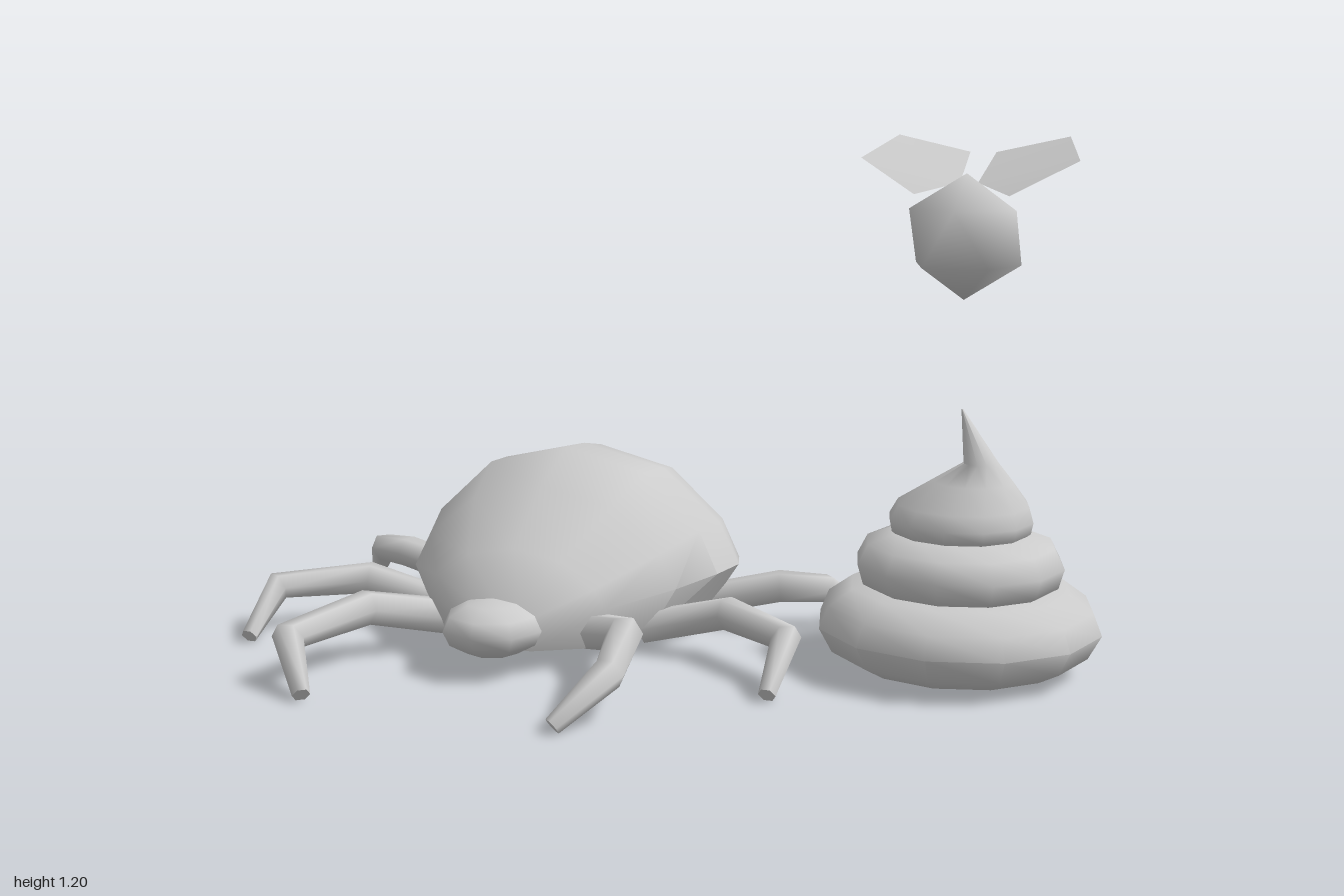
import * as THREE from 'three';
import { toCreasedNormals } from 'three/addons/utils/BufferGeometryUtils.js';

const MID = -0.295;          // symmetry plane of the beetle
const FLY = [0.67, 0.985, -0.165];
const material = new THREE.MeshStandardMaterial({ color: 0xcccccc });
const thin = new THREE.MeshStandardMaterial({ color: 0xcccccc, side: THREE.DoubleSide });

function mesh(name, geometry, mat = material) {
  const m = new THREE.Mesh(geometry, mat);
  m.name = name;
  return m;
}

// Skin over rings of points; each ring runs counter-clockwise about the direction of travel
function loft(rings, crease) {
  const n = rings[0].length, pos = [], index = [];
  rings.forEach(r => r.forEach(p => pos.push(p.x, p.y, p.z)));
  for (let i = 0; i < rings.length - 1; i++) {
    for (let j = 0; j < n; j++) {
      const a = i * n + j, b = i * n + (j + 1) % n;
      index.push(a, b, a + n, b, b + n, a + n);
    }
  }
  // end caps with their own vertices
  [0, rings.length - 1].forEach(k => {
    const base = pos.length / 3, c = new THREE.Vector3();
    rings[k].forEach(p => { c.addScaledVector(p, 1 / n); pos.push(p.x, p.y, p.z); });
    pos.push(c.x, c.y, c.z);
    for (let j = 0; j < n; j++) {
      const a = base + j, b = base + (j + 1) % n;
      if (k) index.push(a, b, base + n); else index.push(b, a, base + n);
    }
  });
  const g = new THREE.BufferGeometry();
  g.setAttribute('position', new THREE.Float32BufferAttribute(pos, 3));
  g.setIndex(index);
  if (crease) return toCreasedNormals(g, crease);
  g.computeVertexNormals();
  return g;
}

// Domed shell with a flat belly
function shell() {
  const half = [[1, 0], [0.88, 0.36], [0.52, 0.82], [0, 1]];
  const profile = [...half, ...half.slice(0, 3).reverse().map(([u, v]) => [-u, v]), [-0.78, -1], [0.78, -1]];
  // z, half width, top, widest height, bottom
  const sections = [
    [-0.62, 0.02, 0.125, 0.11, 0.095],
    [-0.545, 0.25, 0.28, 0.13, 0.025],
    [-0.39, 0.37, 0.415, 0.155, 0.03],
    [-0.28, 0.405, 0.438, 0.165, 0.03],
    [-0.17, 0.388, 0.448, 0.165, 0.03],
    [-0.02, 0.338, 0.38, 0.16, 0.035],
    [0.14, 0.225, 0.265, 0.14, 0.045],
    [0.25, 0.115, 0.175, 0.12, 0.06],
  ];
  return loft(sections.map(([z, w, top, mid, low]) => profile.map(([u, v]) =>
    new THREE.Vector3(MID + u * w, mid + v * (v > 0 ? top - mid : mid - low), z))), 0.95);
}

// Tapered six-sided limb through a few joints [x, y, z, radius]
function limb(joints) {
  const p = joints.map(j => new THREE.Vector3(j[0], j[1], j[2]));
  const up = new THREE.Vector3(0, 1, 0);
  return loft(p.map((c, i) => {
    const dir = (a, b) => p[Math.min(b, p.length - 1)].clone().sub(p[Math.max(a, 0)]).normalize();
    const t = i === 0 ? dir(0, 1) : i === p.length - 1 ? dir(i - 1, i) : dir(i - 1, i).add(dir(i, i + 1)).normalize();
    const s = up.clone().cross(t).normalize(), u = t.clone().cross(s);
    return Array.from({ length: 6 }, (_, k) => {
      const a = k * Math.PI / 3;
      return c.clone().addScaledVector(s, joints[i][3] * Math.cos(a)).addScaledVector(u, joints[i][3] * Math.sin(a));
    });
  }));
}

// Stacked coil from rings [radius, y, shift in x, shift in z]
function coil(levels) {
  return loft(levels.map(([r, y, dx = 0, dz = 0]) => Array.from({ length: 12 }, (_, k) => {
    const a = k * Math.PI / 6;
    return new THREE.Vector3(0.675 + dx + r * Math.sin(a), y, -0.165 + dz + r * Math.cos(a));
  })), 0.95);
}

function createBeetle() {
  const beetle = new THREE.Group();
  beetle.name = 'beetle';
  beetle.add(mesh('shell', shell()));

  // Head, flattened underneath
  const head = new THREE.SphereGeometry(1, 8, 6);
  head.scale(0.12, 0.065, 0.115).translate(MID, 0.11, 0.258);
  const hp = head.attributes.position;
  for (let i = 0; i < hp.count; i++) hp.setY(i, Math.max(hp.getY(i), 0.053));
  beetle.add(mesh('head', head));

  // Three legs on each side
  const legs = {
    frontLeg: [[-0.14, 0.07, 0.08, 0.045], [0.025, 0.125, 0.26, 0.042], [0.087, 0.115, 0.505, 0.037], [0, 0.02, 0.6, 0.02]],
    middleLeg: [[-0.04, 0.06, -0.03, 0.04], [0.17, 0.115, -0.02, 0.04], [0.35, 0.11, 0.11, 0.035], [0.35, 0.02, 0.248, 0.02]],
    rearLeg: [[0, 0.06, -0.3, 0.04], [0.21, 0.115, -0.3, 0.04], [0.31, 0.105, -0.355, 0.036], [0.38, 0.025, -0.46, 0.022]],
  };
  for (const [name, path] of Object.entries(legs)) {
    beetle.add(mesh(name + 'Left', limb(path)));
    beetle.add(mesh(name + 'Right', limb(path.map(([x, ...rest]) => [2 * MID - x, ...rest]))));
  }
  return beetle;
}

function createDung() {
  const dung = new THREE.Group();
  dung.name = 'dungPile';
  dung.add(mesh('lowerCoil', coil([[0.24, 0.02], [0.295, 0.05], [0.325, 0.105], [0.305, 0.155], [0.25, 0.195], [0.15, 0.2]])));
  dung.add(mesh('middleCoil', coil([[0.19, 0.185], [0.225, 0.205], [0.238, 0.25], [0.215, 0.295], [0.15, 0.32]])));
  dung.add(mesh('upperCoil', coil([[0.13, 0.3], [0.16, 0.325], [0.165, 0.35], [0.15, 0.385, 0.005],
    [0.09, 0.44, 0.03, 0.015], [0.04, 0.485, 0.05, 0.03], [0.002, 0.605, 0.005, 0.033]])));
  return dung;
}

function createFly() {
  const fly = new THREE.Group();
  fly.name = 'fly';
  fly.position.set(...FLY);

  // Twenty-sided ball standing on a corner, smoothly shaded
  const ball = new THREE.IcosahedronGeometry(0.14, 0);
  ball.rotateX(-Math.atan((1 + Math.sqrt(5)) / 2));
  const p = ball.attributes.position, v = new THREE.Vector3();
  for (let i = 0; i < p.count; i++) {
    v.fromBufferAttribute(p, i).normalize();
    ball.attributes.normal.setXYZ(i, v.x, v.y, v.z);
  }
  fly.add(mesh('flyBody', ball));

  // Thin five-cornered wings
  const corners = [[0.02, 0.118, -0.025], [0.105, 0.095, 0.055], [0.244, 0.17, -0.015], [0.196, 0.217, -0.175], [0.03, 0.18, -0.175]];
  for (const side of [1, -1]) {
    const wing = new THREE.BufferGeometry();
    wing.setAttribute('position', new THREE.Float32BufferAttribute(corners.flatMap(([x, y, z]) => [side * x, y, z]), 3));
    wing.setIndex(side > 0 ? [0, 1, 2, 0, 2, 3, 0, 3, 4] : [0, 2, 1, 0, 3, 2, 0, 4, 3]);
    wing.computeVertexNormals();
    fly.add(mesh(side > 0 ? 'leftWing' : 'rightWing', wing, thin));
  }
  return fly;
}

export function createModel() {
  const model = new THREE.Group();
  model.name = 'beetleScene';
  model.add(createBeetle(), createDung(), createFly());
  return model;
}
